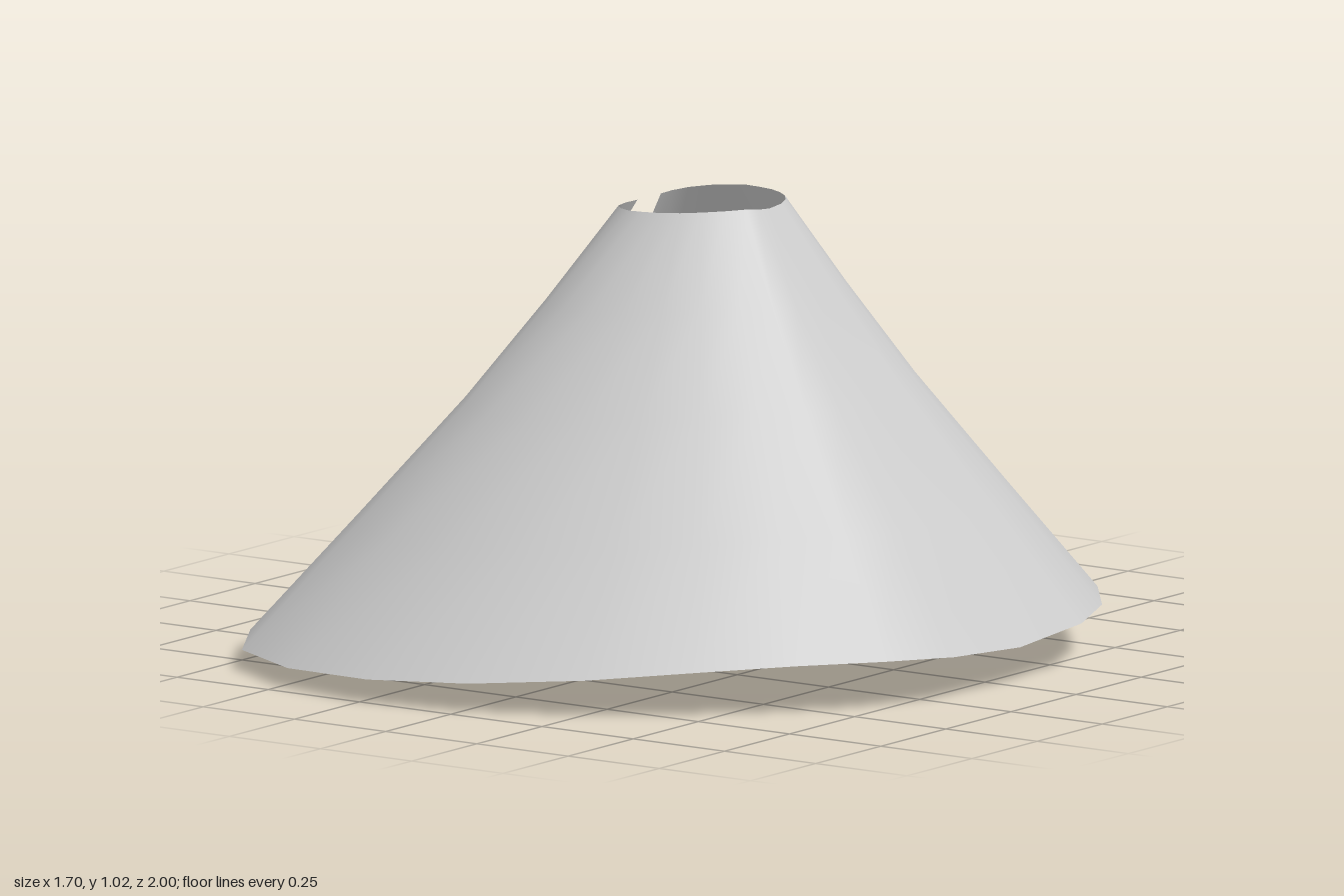
import * as THREE from 'three';

// Half outlines [x, y, z], from the opening at -x round to the middle of the +x side
const hem = [
  [-0.82, 0, 0.225], [-0.85, 0.035, 0.4], [-0.81, 0.044, 0.635], [-0.69, 0.043, 0.835],
  [-0.48, 0.044, 0.955], [-0.23, 0.053, 1], [0.02, 0.066, 0.965], [0.27, 0.085, 0.865],
  [0.48, 0.105, 0.73], [0.645, 0.115, 0.58], [0.775, 0.114, 0.415], [0.84, 0.105, 0.245], [0.847, 0.09, 0],
];
const collar = [
  [-0.17, 1, 0.045], [-0.172, 1, 0.09], [-0.158, 1.002, 0.135], [-0.125, 1.005, 0.17],
  [-0.09, 1.007, 0.19], [-0.05, 1.01, 0.198], [0, 1.011, 0.19], [0.04, 1.013, 0.175],
  [0.08, 1.015, 0.15], [0.12, 1.017, 0.115], [0.15, 1.018, 0.075], [0.16, 1.014, 0.045], [0.16, 1.01, 0],
];

// Rings from collar to hem: [fraction of the way down, inward pull of the cloth]
const rings = [[0, 1], [0.22, 0.95], [0.45, 0.95], [0.725, 0.98], [1, 1]];

const mirrored = (half) => [
  ...half,
  ...half.slice(0, -1).reverse().map(([x, y, z]) => [x, y, -z]),
];

export function createModel() {
  const top = mirrored(collar), bottom = mirrored(hem);
  const n = top.length, positions = [], index = [];

  rings.forEach(([t, pull], r) => {
    for (let i = 0; i < n; i++) {
      const [x, y, z] = top[i].map((v, k) => THREE.MathUtils.lerp(v, bottom[i][k], t));
      positions.push(x * pull, y, z * pull);
      if (r < rings.length - 1 && i < n - 1) {
        const a = r * n + i, b = a + n;
        index.push(a, b, a + 1, a + 1, b, b + 1);
      }
    }
  });

  // Open cone of cloth with a slit down one side
  const geometry = new THREE.BufferGeometry();
  geometry.setAttribute('position', new THREE.Float32BufferAttribute(positions, 3));
  geometry.setIndex(index);
  geometry.computeVertexNormals();

  const cover = new THREE.Mesh(
    geometry,
    new THREE.MeshStandardMaterial({ color: 0xcccccc, side: THREE.DoubleSide }),
  );
  cover.name = 'tentCover';

  const group = new THREE.Group();
  group.name = 'coneTent';
  group.add(cover);
  return group;
}
